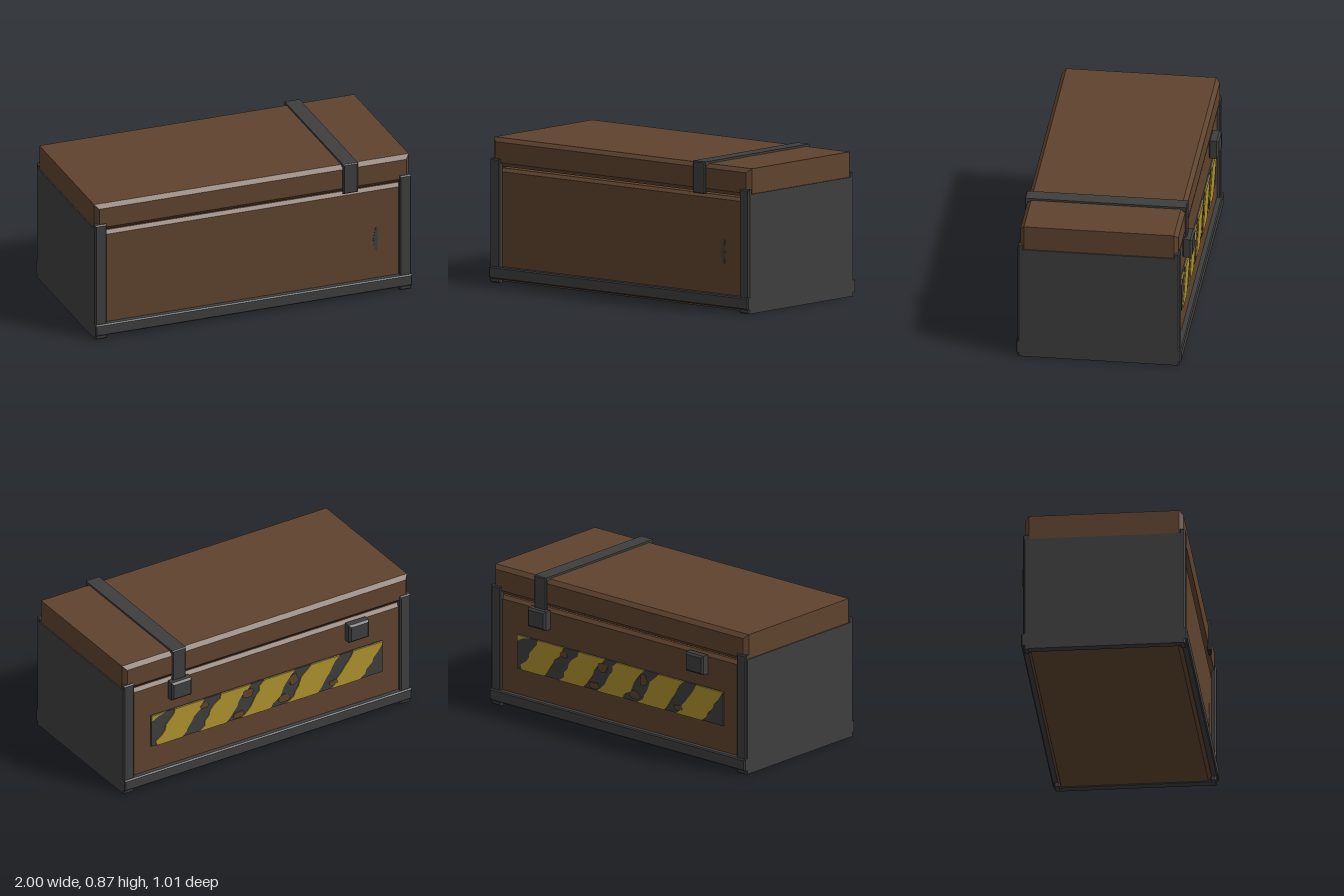
import * as THREE from 'three';

const mat = (name, color) => {
  const m = new THREE.MeshStandardMaterial({ color });
  m.name = name;
  return m;
};

export function createModel() {
  const group = new THREE.Group();
  const brown = mat('brown shell', 0x5f432e);
  const dark = mat('dark metal', 0x3e3e3e);
  const yellow = mat('hazard yellow', 0xae922c);

  let seed = 7;
  const rand = () => (seed = (seed * 16807) % 2147483647) / 2147483647;

  const add = (name, geometry, material) => {
    const mesh = new THREE.Mesh(geometry, material);
    mesh.name = name;
    group.add(mesh);
    return mesh;
  };

  // Box between two corners with every edge chamfered by c
  const block = (name, material, [x0, x1], [y0, y1], [z0, z1], c) => {
    const s = new THREE.Shape();
    s.moveTo(x0 + c, y0 + c);
    s.lineTo(x1 - c, y0 + c);
    s.lineTo(x1 - c, y1 - c);
    s.lineTo(x0 + c, y1 - c);
    const g = new THREE.ExtrudeGeometry(s, {
      depth: z1 - z0 - 2 * c, bevelEnabled: true, bevelThickness: c, bevelSize: c, bevelSegments: 1,
    });
    g.translate(0, 0, z0 + c);
    return add(name, g, material);
  };

  // Thin painted plate from an outline, starting at depth z
  const plate = (name, material, points, z, depth) => {
    const g = new THREE.ExtrudeGeometry(new THREE.Shape(points), { depth, bevelEnabled: false });
    g.translate(0, 0, z);
    return add(name, g, material);
  };
  const P = (x, y) => new THREE.Vector2(x, y);

  // Main shell and lid, with a narrow gap between them
  block('body', brown, [-0.96, 0.96], [0.01, 0.684], [-0.445, 0.465], 0.02);
  block('lid', brown, [-0.993, 0.993], [0.695, 0.865], [-0.457, 0.48], 0.024);

  // End panels, corner posts
  for (const side of [-1, 1]) {
    const span = (a, b) => (side > 0 ? [a, b] : [-b, -a]);
    block('endPanel', dark, span(0.95, 1), [0.004, 0.715], [-0.46, 0.486], 0.005);
    block('frontPost', dark, span(0.925, 0.998), [0.003, 0.742], [0.457, 0.493], 0.007);
    block('backPost', dark, span(0.925, 0.998), [0.003, 0.742], [-0.467, -0.431], 0.007);
  }

  // Bottom rails
  block('frontRail', dark, [-1, 1], [0.028, 0.1], [0.46, 0.503], 0.007);
  block('backRail', dark, [-1, 1], [0.028, 0.1], [-0.479, -0.435], 0.007);

  // Strap over the lid
  const strapX = [0.567, 0.66];
  block('strapTop', dark, strapX, [0.855, 0.877], [-0.467, 0.494], 0.006);
  block('strapFront', dark, strapX, [0.686, 0.877], [0.472, 0.494], 0.006);
  block('strapBack', dark, strapX, [0.62, 0.877], [-0.467, -0.445], 0.006);

  // Clasps on the back
  for (const x of [-0.62, 0.615]) {
    block('clasp', dark, [x - 0.07, x + 0.07], [0.56, 0.678], [-0.503, -0.44], 0.012);
  }

  // Hazard panel on the back
  const bottom = 0.262, top = 0.472, height = top - bottom;
  plate('hazardPanel', dark, [P(-0.81, bottom), P(0.8, bottom), P(0.8, top), P(-0.81, top)], -0.454, 0.009);

  // Slanted stripes with chipped edges
  const steps = 7;
  for (const centre of [0.605, 0.292, -0.01, -0.325, -0.635]) {
    const edge = (offset) => Array.from({ length: steps + 1 }, (_, i) => {
      const t = i / steps;
      const x = centre + offset + (0.5 - t) * 0.15 + (rand() - 0.5) * 0.035;
      return P(THREE.MathUtils.clamp(x, -0.81, 0.8), bottom + t * height);
    });
    plate('hazardStripe', yellow, [...edge(0.1), ...edge(-0.1).reverse()], -0.46, 0.006);
  }
  plate('stripeRemnant', yellow, [P(0.7, top), P(0.8, top), P(0.8, 0.435), P(0.755, 0.458)], -0.46, 0.006);

  // Patches where the paint has worn down to the shell
  const patches = [
    [0.19, 0.29, 0.04, 0.025], [0.13, 0.42, 0.045, 0.03], [-0.13, 0.3, 0.045, 0.03],
    [-0.19, 0.41, 0.03, 0.04], [-0.46, 0.3, 0.035, 0.02], [0.43, 0.43, 0.03, 0.025],
  ];
  for (const [x, y, rx, ry] of patches) {
    const outline = Array.from({ length: 9 }, (_, i) => {
      const a = (i / 9) * Math.PI * 2, k = 0.7 + rand() * 0.5;
      return P(x + Math.cos(a) * rx * k, y + Math.sin(a) * ry * k);
    });
    plate('wornPatch', brown, outline, -0.461, 0.004);
  }

  // Scuff on the front
  const scuff = [P(0.772, 0.29), P(0.79, 0.27), P(0.795, 0.35), P(0.79, 0.44), P(0.775, 0.41), P(0.765, 0.35)];
  plate('frontScuff', dark, scuff, 0.463, 0.004);

  return group;
}
